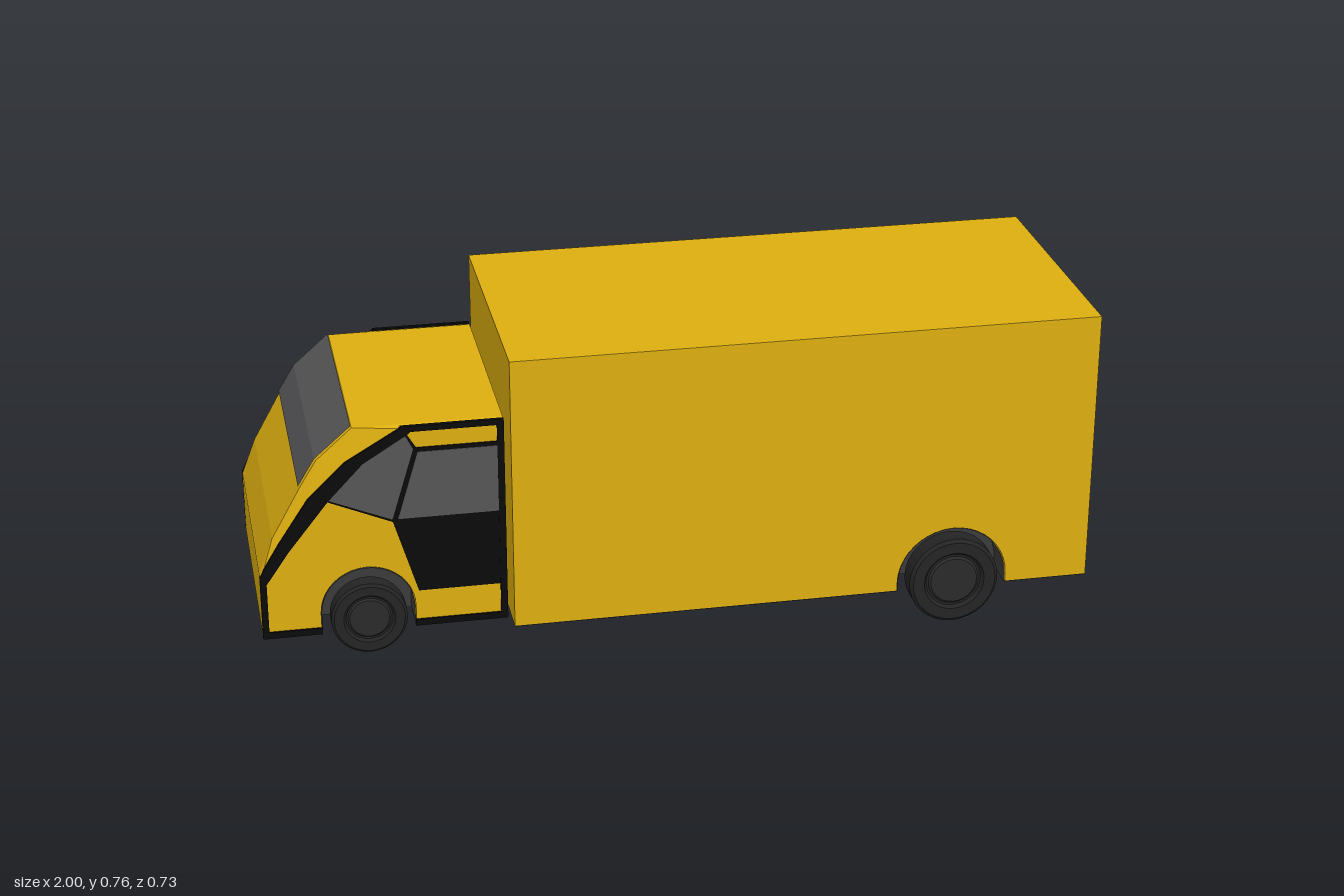
import * as THREE from 'three';

const mat = (color, side = THREE.FrontSide) =>
  new THREE.MeshStandardMaterial({ color, side, flatShading: true });
const YELLOW = mat(0xdcae10, THREE.DoubleSide);
const BLACK = mat(0x0b0b0b);
const GLASS = mat(0x555557, THREE.DoubleSide);
const DARK = mat(0x2a2a2a);
const RUBBER = mat(0x242424);
const LINER = mat(0x3a3a3a, THREE.DoubleSide);

// Outline in the x-y plane from a list of corners
const poly = (pts) => new THREE.Shape(pts.map(([x, y]) => new THREE.Vector2(x, y)));

// Wheel opening corners, running from front to rear over the wheel
function archPoints({ x, y, r }, bottom) {
  const pts = [[x - r, bottom]];
  for (let i = 0; i <= 20; i++) {
    const a = Math.PI * (1 - i / 20);
    pts.push([x + r * Math.cos(a), y + r * Math.sin(a)]);
  }
  pts.push([x + r, bottom]);
  return pts;
}

export function createModel() {
  const root = new THREE.Group();
  root.name = 'boxTruck';

  const add = (name, geometry, material) => {
    const mesh = new THREE.Mesh(geometry, material);
    mesh.name = name;
    root.add(mesh);
    return mesh;
  };
  // Extruded outline between two depths, on side s (+1 or -1)
  const slab = (name, shape, z0, z1, material, s = 1) => {
    const geo = new THREE.ExtrudeGeometry(shape, { depth: z1 - z0, bevelEnabled: false });
    geo.translate(0, 0, s > 0 ? z0 : -z1);
    return add(name, geo, material);
  };
  const block = (name, x0, x1, y0, y1, z0, z1, material) => {
    const geo = new THREE.BoxGeometry(x1 - x0, y1 - y0, z1 - z0);
    geo.translate((x0 + x1) / 2, (y0 + y1) / 2, (z0 + z1) / 2);
    return add(name, geo, material);
  };
  // Ruled strip between two rails of [x, y, z] points
  const strip = (name, a, b, material) => {
    const geo = new THREE.BufferGeometry();
    const index = [];
    for (let i = 0; i < a.length - 1; i++) {
      const p = 2 * i;
      index.push(p, p + 1, p + 2, p + 1, p + 3, p + 2);
    }
    const pos = a.flatMap((p, i) => [...p, ...b[i]]);
    geo.setAttribute('position', new THREE.Float32BufferAttribute(pos, 3));
    geo.setIndex(index);
    geo.computeVertexNormals();
    return add(name, geo, material);
  };

  const rearArch = { x: 0.66, y: 0.105, r: 0.136 };
  const frontArch = { x: -0.75, y: 0.14, r: 0.112 };

  // Cargo box: full core, with notched outer slabs added per side
  const box = [[-0.41, 0.085], [-0.41, 0.765], [1, 0.765], [1, 0.085]];
  slab('cargoCore', poly(box), -0.25, 0.25, YELLOW);

  // Cab core outline, nose at -x
  const nose = [[-1, 0.09], [-1, 0.25], [-0.965, 0.34], [-0.895, 0.465], [-0.855, 0.53],
    [-0.77, 0.605], [-0.42, 0.605]];
  const cab = [...nose, [-0.42, 0.09]];
  slab('cabCore', poly(cab), -0.2, 0.2, YELLOW);

  // Flank outline, swept back from the nose
  const flank = [[-0.995, 0.09], [-0.995, 0.25], [-0.95, 0.33], [-0.88, 0.43], [-0.79, 0.52],
    [-0.655, 0.6], [-0.42, 0.6]];

  // Windscreen follows the two sloped facets
  const screen = [[-0.899, 0.467], [-0.859, 0.533], [-0.772, 0.609]];
  strip('windscreen', screen.map((p) => [...p, -0.278]), screen.map((p) => [...p, 0.278]), GLASS);

  // Undersides
  block('cargoFloor', -0.41, 1, 0.082, 0.085, -0.25, 0.25, DARK);
  block('cabFloor', -0.995, -0.42, 0.087, 0.09, -0.2, 0.2, DARK);

  // Flat parts on the cab flank: name, corners, material, outer depth
  const flankParts = [
    ['sweepTrim', [[-1, 0.245], [-0.99, 0.268], [-0.95, 0.335], [-0.88, 0.44], [-0.79, 0.527],
      [-0.655, 0.606], [-0.62, 0.606], [-0.645, 0.585], [-0.75, 0.52], [-0.835, 0.43],
      [-0.93, 0.31], [-0.985, 0.23]], BLACK, 0.3],
    ['noseTrim', [[-1, 0.09], [-1, 0.25], [-0.985, 0.25], [-0.985, 0.09]], BLACK, 0.3],
    ['roofTrim', [[-0.66, 0.592], [-0.66, 0.606], [-0.42, 0.606], [-0.42, 0.592]], BLACK, 0.3],
    ['rearTrim', [[-0.436, 0.09], [-0.436, 0.606], [-0.42, 0.606], [-0.42, 0.09]], BLACK, 0.3],
    ['sillTrimFront', [[-1, 0.088], [-1, 0.104], [-0.86, 0.104], [-0.86, 0.088]], BLACK, 0.3],
    ['sillTrimRear', [[-0.64, 0.088], [-0.64, 0.104], [-0.42, 0.104], [-0.42, 0.088]], BLACK, 0.3],
    ['windowFrame', [[-0.84, 0.432], [-0.75, 0.525], [-0.65, 0.592], [-0.625, 0.55],
      [-0.43, 0.55], [-0.43, 0.18], [-0.63, 0.18], [-0.685, 0.365]], BLACK, 0.298],
    ['quarterWindow', [[-0.835, 0.435], [-0.75, 0.52], [-0.652, 0.588], [-0.632, 0.548],
      [-0.686, 0.372]], GLASS, 0.2995],
    ['doorWindow', [[-0.673, 0.372], [-0.622, 0.54], [-0.436, 0.54], [-0.436, 0.372]], GLASS, 0.2995],
  ];

  for (const s of [1, -1]) {
    const side = s > 0 ? 'left' : 'right';

    // Notched cargo side
    const rearCut = archPoints(rearArch, 0.085).reverse();
    slab(side + 'CargoSide', poly([...box, ...rearCut]), 0.25, 0.34, YELLOW, s);

    // Notched cab side, flank panel and the bevel joining them
    const frontCut = archPoints(frontArch, 0.09).reverse();
    slab(side + 'CabSide', poly([...cab, ...frontCut]), 0.2, 0.28, YELLOW, s);
    slab(side + 'CabFlank', poly([...flank, [-0.42, 0.09], ...frontCut]), 0.28, 0.295, YELLOW, s);
    strip(side + 'CabBevel', nose.map((p) => [...p, s * 0.28]),
      flank.map((p) => [...p, s * 0.295]), YELLOW);
    for (const [name, pts, material, z] of flankParts)
      slab(side + name[0].toUpperCase() + name.slice(1), poly(pts), 0.29, z, material, s);

    // Floor strips ahead of and behind the wheel wells
    const floors = [[-0.41, 0.524, 0.082, 0.25, 0.338], [0.796, 1, 0.082, 0.25, 0.338],
      [-0.995, -0.862, 0.087, 0.2, 0.29], [-0.638, -0.42, 0.087, 0.2, 0.29]];
    for (const [x0, x1, y, z0, z1] of floors)
      block(side + 'FloorStrip', x0, x1, y, y + 0.003, s > 0 ? z0 : -z1, s > 0 ? z1 : -z0, DARK);

    // Wheel well liners and their inner walls
    for (const [name, arch, bottom, z0, z1] of [
      ['RearWell', rearArch, 0.083, 0.25, 0.339], ['FrontWell', frontArch, 0.088, 0.2, 0.297]]) {
      const rim = archPoints({ ...arch, r: arch.r - 0.002 }, bottom);
      strip(side + name, rim.map((p) => [...p, s * z0]), rim.map((p) => [...p, s * z1]), LINER);
      slab(side + name + 'Wall', poly(rim), z0, z0 + 0.003, LINER, s);
    }

    // Wheels: tyre with a recessed rim and hub
    for (const [name, x, y, r, z0, z1] of [
      ['RearWheel', 0.66, 0.11, 0.11, 0.305, 0.365], ['FrontWheel', -0.75, 0.125, 0.09, 0.265, 0.315]]) {
      const w = z1 - z0;
      const profile = [[0, 0], [0.93, 0], [1, 0.12 * w], [1, 0.88 * w], [0.93, w], [0.68, w],
        [0.62, 0.85 * w], [0, 0.85 * w]].map(([k, d]) => new THREE.Vector2(k * r, d));
      const hub = new THREE.CylinderGeometry(r * 0.52, r * 0.58, w * 0.1, 28);
      hub.translate(0, w * 0.88, 0);
      const wheel = new THREE.Group();
      wheel.name = side + name;
      wheel.add(new THREE.Mesh(new THREE.LatheGeometry(profile, 32), RUBBER),
        new THREE.Mesh(hub, DARK));
      wheel.children[0].name = 'tyre';
      wheel.children[1].name = 'hub';
      wheel.rotation.x = s * Math.PI / 2;
      wheel.position.set(x, y, s * z0);
      root.add(wheel);
    }
  }
  return root;
}
